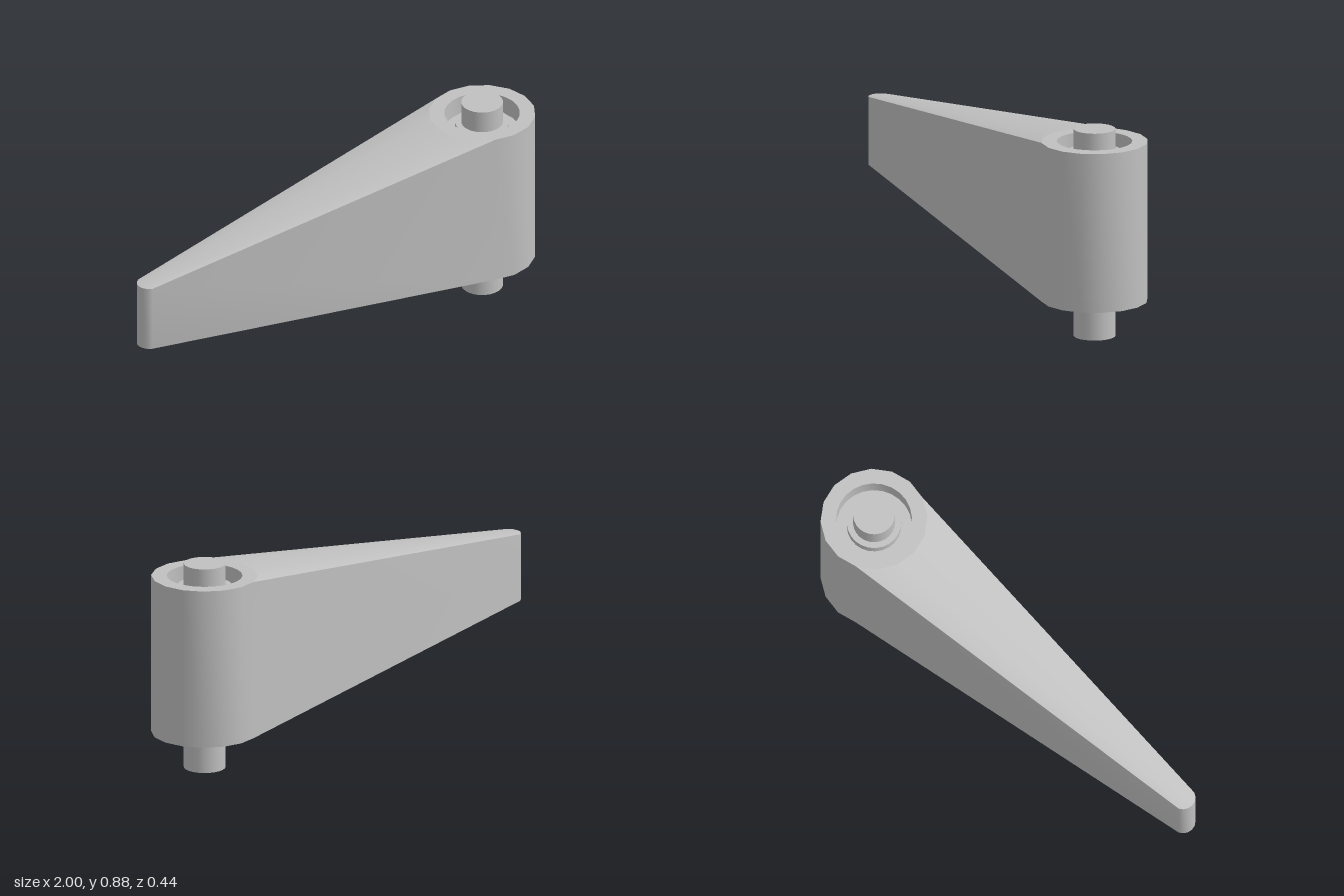
import * as THREE from 'three';
import { toCreasedNormals } from 'three/addons/utils/BufferGeometryUtils.js';

const STEP = Math.PI / 8; // sixteen-sided head
const HEAD = { x: 0.778, r: 0.222, top: 0.832, bottom: 0.153 };
const TIP = { x: -0.948, r: 0.052, top: 0.64, bottom: 0.35 };
const RECESS_R = 0.157;

// Point i of an end's round outline, at its top or bottom edge
function rim(end, i, edge) {
  return [end.x + end.r * Math.cos(i * STEP), end[edge], end.r * Math.sin(i * STEP)];
}

// Tapered shell: walls around both ends, ruled slopes above and below
function shellGeometry() {
  const pos = [];
  const quad = (a, b, c, d) => pos.push(...a, ...b, ...c, ...a, ...c, ...d);

  const outline = [];
  for (let i = -5; i <= 5; i++) outline.push([HEAD, i]);
  for (let i = 5; i <= 11; i++) outline.push([TIP, i]);
  outline.forEach((p, k) => {
    const q = outline[(k + 1) % outline.length];
    quad(rim(...p, 'bottom'), rim(...p, 'top'), rim(...q, 'top'), rim(...q, 'bottom'));
  });

  for (let i = 5; i < 11; i++) {
    quad(rim(HEAD, i, 'top'), rim(HEAD, i + 1, 'top'), rim(TIP, i + 1, 'top'), rim(TIP, i, 'top'));
    quad(rim(TIP, i, 'bottom'), rim(TIP, i + 1, 'bottom'), rim(HEAD, i + 1, 'bottom'), rim(HEAD, i, 'bottom'));
  }

  const geometry = new THREE.BufferGeometry();
  geometry.setAttribute('position', new THREE.Float32BufferAttribute(pos, 3));
  return toCreasedNormals(geometry, 0.5);
}

// Flat face of the head with a round opening
function faceGeometry() {
  const points = [];
  for (let i = 0; i < 16; i++) {
    points.push(new THREE.Vector2(HEAD.r * Math.cos(i * STEP), HEAD.r * Math.sin(i * STEP)));
  }
  const shape = new THREE.Shape(points);
  shape.holes.push(new THREE.Path().absarc(0, 0, RECESS_R, 0, Math.PI * 2, true));
  return new THREE.ShapeGeometry(shape, 12);
}

// Turned recess with a raised bushing in its middle
function recessGeometry(profile) {
  const lathe = new THREE.LatheGeometry(profile.map(([r, y]) => new THREE.Vector2(r, y)), 24);
  return toCreasedNormals(lathe, 0.5);
}

export function createModel() {
  const model = new THREE.Group();
  model.name = 'pivotArm';
  const metal = new THREE.MeshStandardMaterial({ color: 0xc0c0c0 });
  metal.name = 'greyMetal';

  const add = (name, geometry, x = 0, y = 0) => {
    const mesh = new THREE.Mesh(geometry, metal);
    mesh.name = name;
    mesh.position.set(x, y, 0);
    model.add(mesh);
    return mesh;
  };

  add('armShell', shellGeometry());
  add('headTopFace', faceGeometry(), HEAD.x, HEAD.top).rotation.x = -Math.PI / 2;
  add('headBottomFace', faceGeometry(), HEAD.x, HEAD.bottom).rotation.x = Math.PI / 2;

  // Recess and bushing at each end of the bore
  const upper = [[RECESS_R, 0.832], [RECESS_R, 0.75], [0.113, 0.75], [0.113, 0.79], [0.08, 0.79]];
  const lower = [[0.08, 0.195], [0.113, 0.195], [0.113, 0.235], [RECESS_R, 0.235], [RECESS_R, 0.153]];
  add('upperBushing', recessGeometry(upper), HEAD.x);
  add('lowerBushing', recessGeometry(lower), HEAD.x);

  // Pivot pin through the head
  add('pivotPin', new THREE.CylinderGeometry(0.087, 0.087, 0.885, 24), HEAD.x, 0.4425);

  return model;
}
